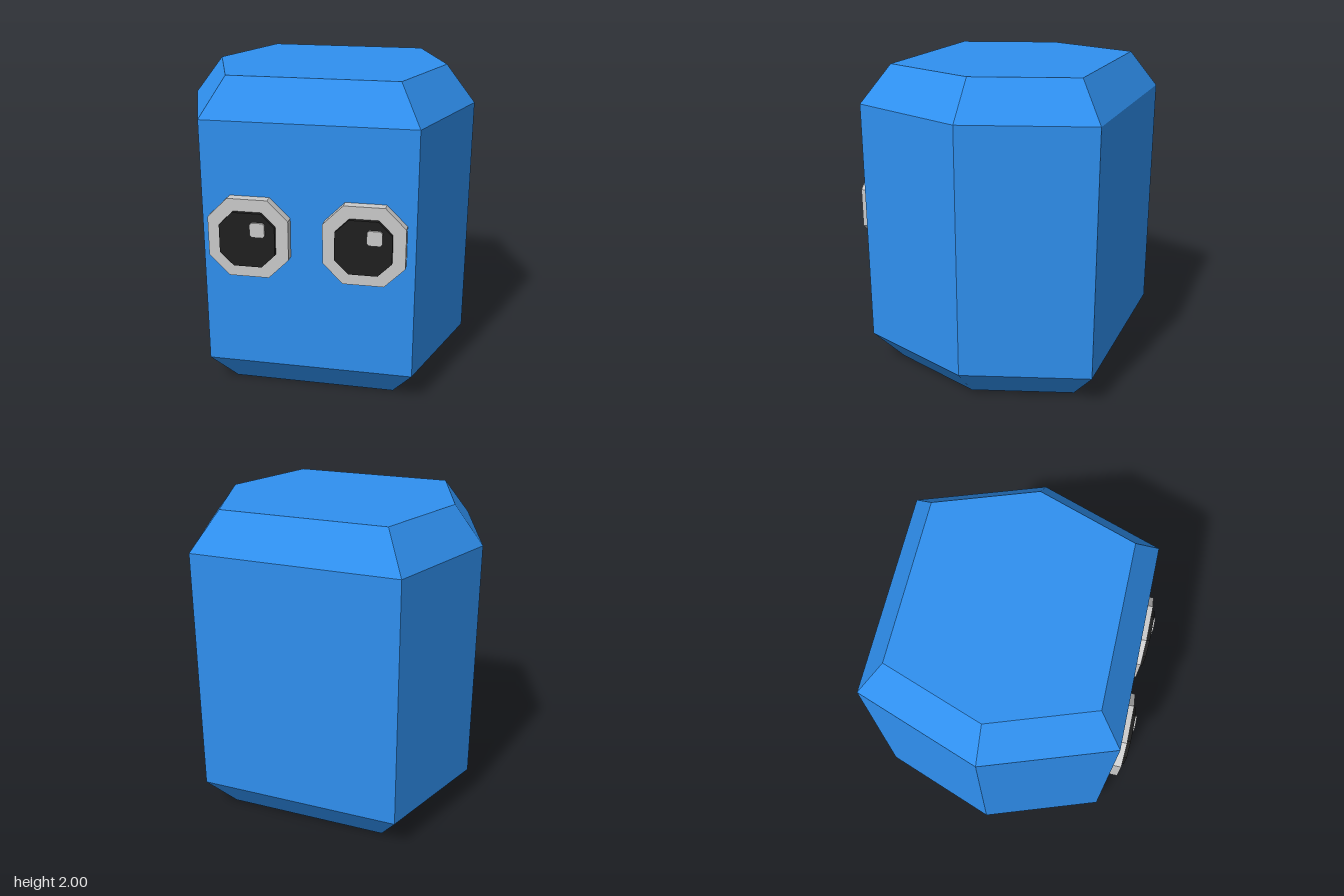
import * as THREE from 'three';

const blue = new THREE.MeshStandardMaterial({ color: 0x2f90f0, flatShading: true });
const black = new THREE.MeshStandardMaterial({ color: 0x1f1f1f, flatShading: true });
const grey = new THREE.MeshStandardMaterial({ color: 0xcccccc, flatShading: true });

// Stretched hexagon outline (x, z), counterclockwise seen from above
const HEX = [[-0.645, 0.7625], [0.645, 0.7625], [0.915, 0], [0.645, -0.7625], [-0.645, -0.7625], [-0.915, 0]];
const CENTRE_Z = -0.05;

// Hexagonal body lofted through levels of [height, outline scale]
function bodyGeometry(levels) {
  const positions = [];
  const rings = levels.map(([y, s]) => HEX.map(([x, z]) => [x * s, y, z * s + CENTRE_Z]));
  const triangle = (a, b, c) => positions.push(...a, ...b, ...c);
  const last = rings.length - 1;
  for (let i = 0; i < HEX.length; i++) {
    const j = (i + 1) % HEX.length;
    for (let k = 0; k < last; k++) {
      triangle(rings[k][i], rings[k][j], rings[k + 1][j]);
      triangle(rings[k][i], rings[k + 1][j], rings[k + 1][i]);
    }
    triangle([0, levels[0][0], CENTRE_Z], rings[0][j], rings[0][i]);
    triangle([0, levels[last][0], CENTRE_Z], rings[last][i], rings[last][j]);
  }
  const geometry = new THREE.BufferGeometry();
  geometry.setAttribute('position', new THREE.Float32BufferAttribute(positions, 3));
  geometry.computeVertexNormals();
  return geometry;
}

// Square plate with cut corners, facing +z between two depths
function plate(name, half, flat, x, y, z0, z1, material) {
  const corners = [[flat, -half], [half, -flat], [half, flat], [flat, half],
    [-flat, half], [-half, flat], [-half, -flat], [-flat, -half]];
  const shape = new THREE.Shape(corners.map(([px, py]) => new THREE.Vector2(px, py)));
  const geometry = new THREE.ExtrudeGeometry(shape, { depth: z1 - z0, bevelEnabled: false });
  const mesh = new THREE.Mesh(geometry, material);
  mesh.name = name;
  mesh.position.set(x, y, z0);
  return mesh;
}

export function createModel() {
  const model = new THREE.Group();
  model.name = 'hexagonalCreature';

  const body = new THREE.Mesh(bodyGeometry([[0, 0.8], [0.205, 1], [1.765, 1], [2, 0.8]]), blue);
  body.name = 'body';
  model.add(body);

  // Eyes: stacked plates, both glints shifted the same way
  for (const [name, x] of [['rightEye', -0.349], ['leftEye', 0.346]]) {
    const eye = new THREE.Group();
    eye.name = name;
    eye.position.set(x, 1.071, 0);
    eye.add(
      plate('eyeWhite', 0.245, 0.122, 0, 0, 0.70, 0.774, grey),
      plate('pupil', 0.169, 0.086, 0, 0, 0.76, 0.80, black),
      plate('glint', 0.045, 0.033, 0.067, 0.07, 0.785, 0.813, grey),
    );
    model.add(eye);
  }
  return model;
}
